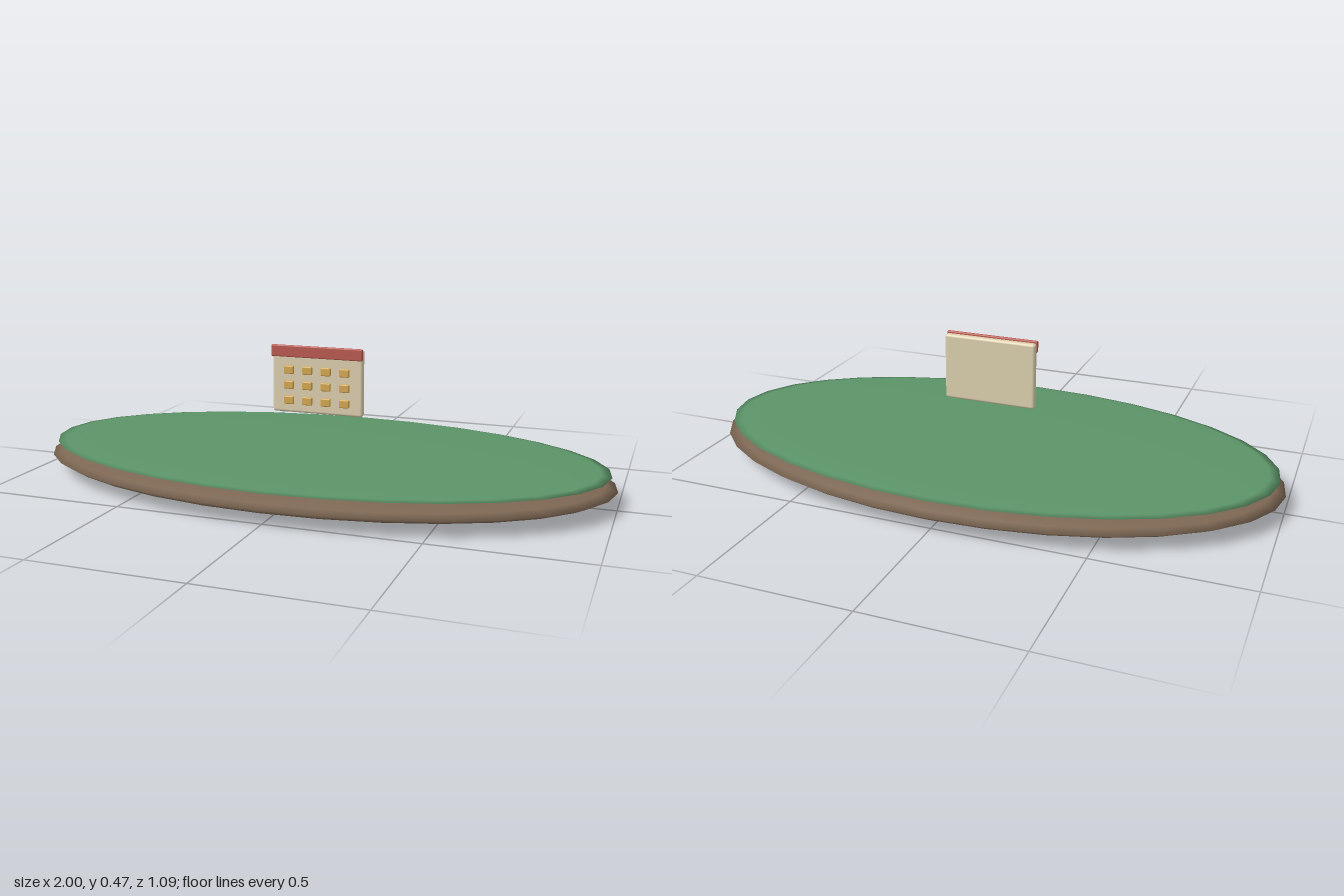
import * as THREE from 'three';
import { RoundedBoxGeometry } from 'three/addons/geometries/RoundedBoxGeometry.js';

function material(name, color) {
  const m = new THREE.MeshStandardMaterial({ color });
  m.name = name;
  return m;
}

export function createModel() {
  const soil = material('soil brown', 0x7d6753);
  const grass = material('grass green', 0x5c9468);
  const wall = material('cream wall', 0xdccfae);
  const roof = material('roof red', 0xb9584e);
  const glass = material('window gold', 0xd4a850);

  const model = new THREE.Group();
  model.name = 'floatingIsland';

  // Flattened ellipsoids for the ground
  const disc = (name, mat, rx, ry, rz, y) => {
    const mesh = new THREE.Mesh(new THREE.SphereGeometry(1, 32, 12), mat);
    mesh.name = name;
    mesh.scale.set(rx, ry, rz);
    mesh.position.y = y;
    model.add(mesh);
  };
  disc('soilBase', soil, 1, 0.059, 0.545, 0.059);
  disc('grassTop', grass, 0.98, 0.017, 0.525, 0.105);

  // Slim slab building hovering above the grass
  const building = new THREE.Group();
  building.name = 'building';
  model.add(building);
  const box = (name, mat, w, h, d, r, x, y, z) => {
    const mesh = new THREE.Mesh(new RoundedBoxGeometry(w, h, d, 3, r), mat);
    mesh.name = name;
    mesh.position.set(x, y, z);
    building.add(mesh);
  };
  box('wallSlab', wall, 0.322, 0.228, 0.026, 0.009, 0, 0.349, 0);
  box('roofBand', roof, 0.324, 0.04, 0.012, 0.004, 0, 0.448, 0.017);

  // Four columns by three rows of windows
  for (const y of [0.279, 0.332, 0.384]) {
    for (const x of [-0.099, -0.033, 0.033, 0.099]) {
      box('window', glass, 0.035, 0.028, 0.011, 0.004, x, y, 0.0175);
    }
  }
  return model;
}
